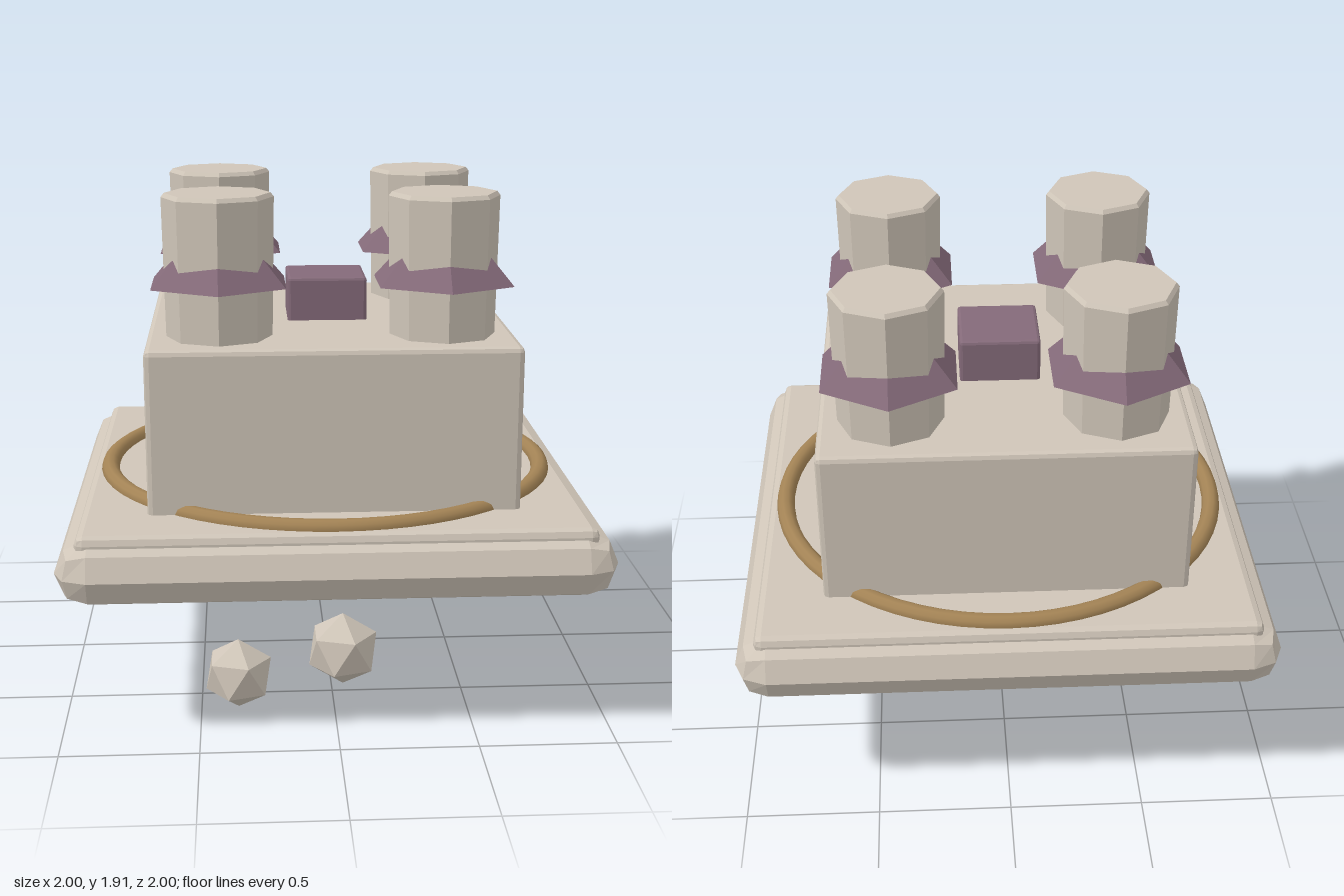
import * as THREE from 'three';
import { RoundedBoxGeometry } from 'three/addons/geometries/RoundedBoxGeometry.js';

export function createModel() {
  const model = new THREE.Group();
  const material = (name, color, flatShading = true) => {
    const m = new THREE.MeshStandardMaterial({ color, flatShading });
    m.name = name;
    return m;
  };
  const stone = material('pale stone', 0xcfc5b8);
  const purple = material('dusty purple', 0x846a79);
  const bronze = material('bronze', 0xa38355, false);

  const add = (name, geometry, mat, x = 0, y = 0, z = 0) => {
    const mesh = new THREE.Mesh(geometry, mat);
    mesh.name = name;
    mesh.position.set(x, y, z);
    model.add(mesh);
    return mesh;
  };
  // Chamfered block given by width, bottom, top and bevel
  const block = (name, mat, w, y0, y1, bevel) =>
    add(name, new RoundedBoxGeometry(w, y1 - y0, w, 1, bevel), mat, 0, (y0 + y1) / 2, 0);

  // Floating platform and keep
  block('platform', stone, 2, 0.525, 0.765, 0.12);
  block('platformTop', stone, 1.85, 0.7, 0.785, 0.03);
  block('keep', stone, 1.36, 0.7, 1.39, 0.02);
  block('roofBlock', purple, 0.305, 1.3, 1.555, 0.012);

  // Ring lying on the platform
  const ring = add('ring', new THREE.TorusGeometry(0.86, 0.035, 10, 64), bronze, 0, 0.785, 0);
  ring.rotation.x = Math.PI / 2;

  // Four octagonal towers with hexagonal collars
  const profile = [[0.194, 1.3], [0.204, 1.9], [0.192, 1.915], [0, 1.915]]
    .map(([r, y]) => new THREE.Vector2(r, y));
  const towerGeometry = new THREE.LatheGeometry(profile, 8);
  const collarGeometry = new THREE.ConeGeometry(0.28, 0.3, 6);
  for (const x of [-0.412, 0.412]) {
    for (const z of [-0.412, 0.412]) {
      add('tower', towerGeometry, stone, x, 0, z);
      add('towerCollar', collarGeometry, purple, x, 1.735, z);
    }
  }

  // Loose rocks hanging below, each with a corner pointing up
  const rocks = [[0.265, 0.4, -0.08, 0.125], [-0.36, 0.136, 0.62, 0.136], [0.04, 0.178, 0.507, 0.144]];
  for (const [x, y, z, r] of rocks) {
    const rock = add('rock', new THREE.IcosahedronGeometry(r, 0), stone, x, y, z);
    rock.rotation.z = -0.5536;
  }
  return model;
}
